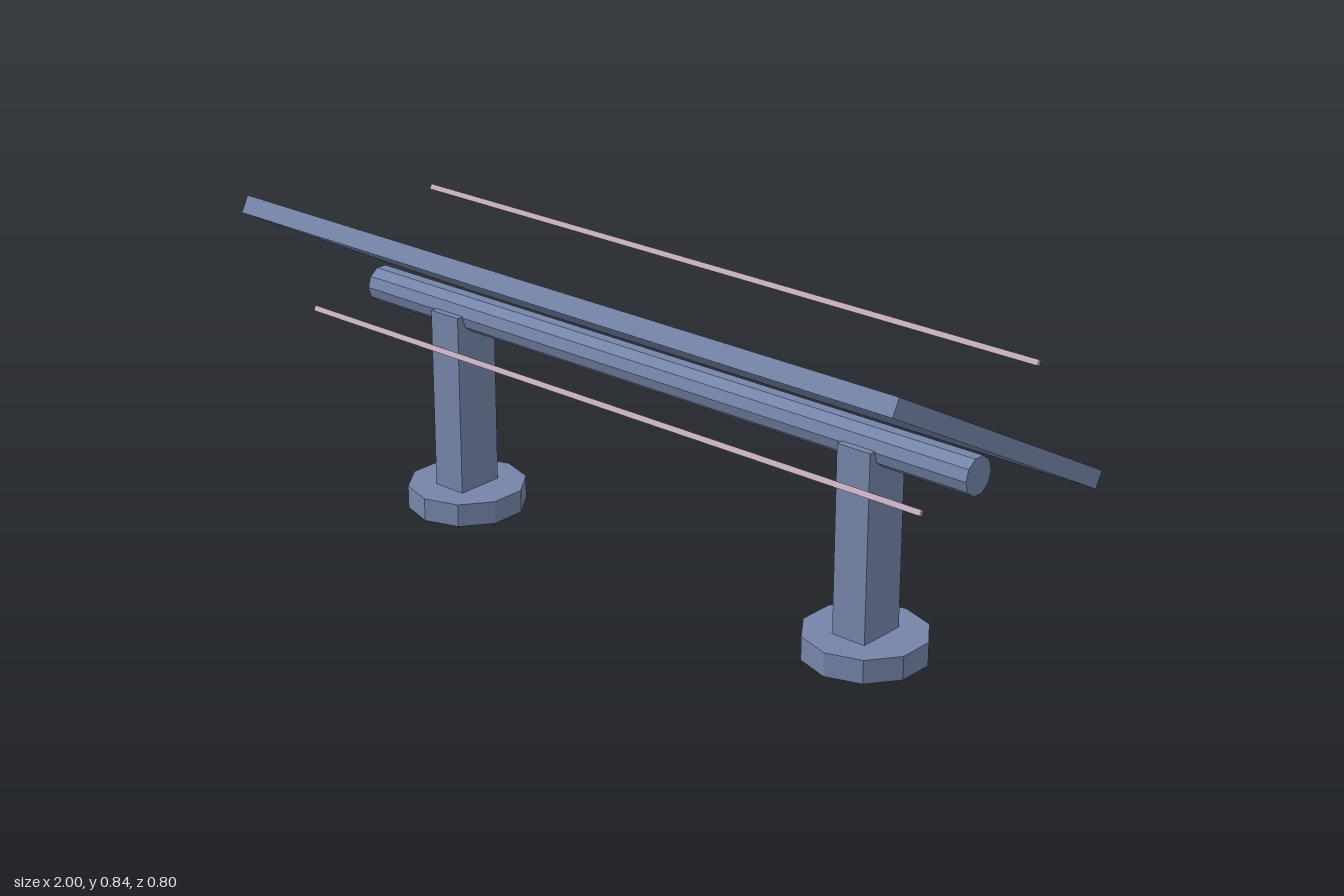
import * as THREE from 'three';

export function createModel() {
  const model = new THREE.Group();
  model.name = 'tiltedPanelStand';
  const blue = new THREE.MeshStandardMaterial({ name: 'slateBlue', color: 0x7585a8, flatShading: true });
  const mauve = new THREE.MeshStandardMaterial({ name: 'paleMauve', color: 0xc4abbc, flatShading: true });

  const add = (name, geometry, material, x, y, z) => {
    const mesh = new THREE.Mesh(geometry, material);
    mesh.name = name;
    mesh.position.set(x, y, z);
    model.add(mesh);
    return mesh;
  };

  // Panel leaning back, with its front edge raised
  const tilt = -0.487;
  add('panel', new THREE.BoxGeometry(2, 0.045, 0.882), blue, 0, 0.6185, 0).rotation.x = tilt;

  // Ten-sided tube running along the tops of the posts
  const tube = new THREE.CylinderGeometry(0.047, 0.047, 1.88, 10).rotateZ(Math.PI / 2);
  add('crossTube', tube, blue, 0, 0.53, 0);

  // Posts on ten-sided feet
  for (const side of [-1, 1]) {
    const label = side > 0 ? 'left' : 'right';
    add(label + 'Post', new THREE.BoxGeometry(0.093, 0.485, 0.129), blue, side * 0.646, 0.2905, 0);
    add(label + 'Foot', new THREE.CylinderGeometry(0.153, 0.153, 0.06, 10), blue, side * 0.646, 0.03, 0);
  }

  // Thin rods floating above and below the panel
  const rod = new THREE.BoxGeometry(1.9, 0.014, 0.009);
  add('upperRod', rod, mauve, 0, 0.739, -0.197).rotation.x = tilt;
  add('lowerRod', rod, mauve, 0, 0.518, 0.219).rotation.x = tilt;

  return model;
}
